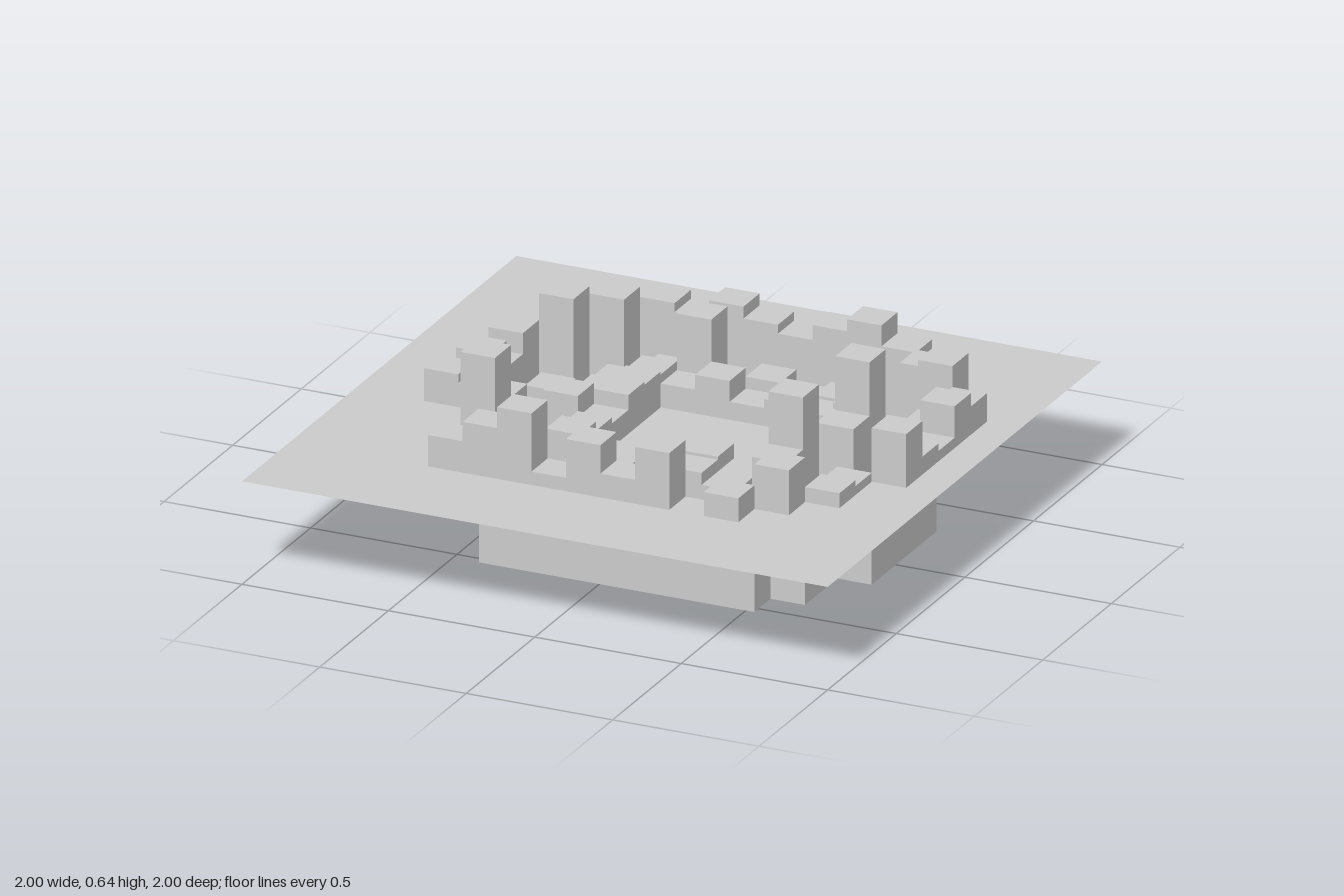
import * as THREE from 'three';
import { mergeGeometries } from 'three/addons/utils/BufferGeometryUtils.js';

const N = 17, C = 2 / N, GROUND = 0.345, ISLAND_Y = 0.25;
const edge = (i) => -1 + i * C;

// First and last column of the sunken area and of the island in it, by row
const PIT = {
  3: [5, 12], 4: [4, 13], 5: [3, 13], 6: [3, 14], 7: [3, 14],
  8: [3, 14], 9: [4, 14], 10: [5, 13], 11: [5, 13], 12: [5, 12],
};
const ISLAND = {
  4: [6, 11], 5: [5, 12], 6: [5, 12], 7: [4, 13],
  8: [5, 13], 9: [6, 12], 10: [6, 12], 11: [7, 11],
};
const within = (spans, c, r) => !!spans[r] && c >= spans[r][0] && c <= spans[r][1];
const isMoat = (c, r) => within(PIT, c, r) && !within(ISLAND, c, r);

// Runs of blocks: row, first column, heights above their base in hundredths
const OUTER_BLOCKS = [
  [2, 5, [10, 7, 13, 9, 6, 11, 15, 8]],
  [3, 4, [13.5]], [3, 13, [9]],
  [4, 3, [16]], [4, 14, [16.5]],
  [5, 2, [7]], [5, 15, [9.5]],
  [6, 15, [14]],
  [7, 2, [9]], [7, 15, [3.5]],
  [8, 15, [6]],
  [9, 2, [11, 8]], [9, 15, [18]],
  [10, 4, [12]], [10, 14, [3]],
  [11, 4, [29.5]], [11, 14, [5]],
  [12, 13, [15]],
  [13, 4, [10.5, 17, 24, 4.5, 17.5, 8, 19]], [13, 12, [8]],
];
const ISLAND_BLOCKS = [
  [4, 6, [7, 27, 5, 10, 6, 8]],
  [5, 5, [6, 11, 8, 13, 6, 9, 7, 12]],
  [6, 5, [7, 12]], [6, 12, [10]],
  [7, 4, [10, 6, 13]], [7, 12, [9, 38.5]],
  [8, 5, [15, 8]], [8, 12, [12, 20.5]],
  [9, 6, [10]], [9, 12, [33.5]],
  [10, 6, [13, 8, 11, 6, 14, 9, 16]],
  [11, 7, [9, 12, 7, 13, 9]],
];

// Open-bottomed block standing on a base level
function block(c, r, h, base) {
  const g = new THREE.BoxGeometry(C, h, C);
  const idx = Array.from(g.index.array);
  idx.splice(18, 6);
  g.setIndex(idx);
  g.clearGroups();
  return g.translate(edge(c + 0.5), base + h / 2, edge(r + 0.5));
}

// Flat cell facing up
function tile(c, r, y) {
  return new THREE.PlaneGeometry(C, C).rotateX(-Math.PI / 2)
    .translate(edge(c + 0.5), y, edge(r + 0.5));
}

// Wall on the side of a cell that lies towards (dx, dz), facing that way
function wall(c, r, dx, dz, h) {
  return new THREE.PlaneGeometry(C, h).rotateY(Math.atan2(dx, dz))
    .translate(edge(c + 0.5) + dx * C / 2, h / 2, edge(r + 0.5) + dz * C / 2);
}

export function createModel() {
  const group = new THREE.Group();
  const material = new THREE.MeshStandardMaterial({
    color: 0xcccccc, flatShading: true, side: THREE.DoubleSide,
  });
  const add = (name, parts) => {
    const mesh = new THREE.Mesh(mergeGeometries(parts), material);
    mesh.name = name;
    group.add(mesh);
  };

  // Stepped stones around the moat and on the island
  const raised = new Set();
  const blocks = (runs, base) => runs.flatMap(([r, c0, heights]) => heights.map((h, i) => {
    raised.add(r * N + c0 + i);
    return block(c0 + i, r, h / 100, base);
  }));
  add('outerRimBlocks', blocks(OUTER_BLOCKS, GROUND));
  add('islandBlocks', blocks(ISLAND_BLOCKS, ISLAND_Y));

  // Ground sheet, island top, moat floor and moat walls
  const ground = [], island = [], floor = [], outerWalls = [], islandWalls = [];
  for (let r = 0; r < N; r++) {
    for (let c = 0; c < N; c++) {
      if (isMoat(c, r)) {
        floor.push(tile(c, r, 0));
        continue;
      }
      const onIsland = within(ISLAND, c, r);
      const y = onIsland ? ISLAND_Y : GROUND;
      if (!raised.has(r * N + c)) (onIsland ? island : ground).push(tile(c, r, y));
      for (const [dx, dz] of [[1, 0], [-1, 0], [0, 1], [0, -1]]) {
        if (isMoat(c + dx, r + dz)) (onIsland ? islandWalls : outerWalls).push(wall(c, r, dx, dz, y));
      }
    }
  }
  add('ground', ground);
  add('islandTop', island);
  add('moatFloor', floor);
  add('moatOuterWalls', outerWalls);
  add('islandWalls', islandWalls);
  return group;
}
